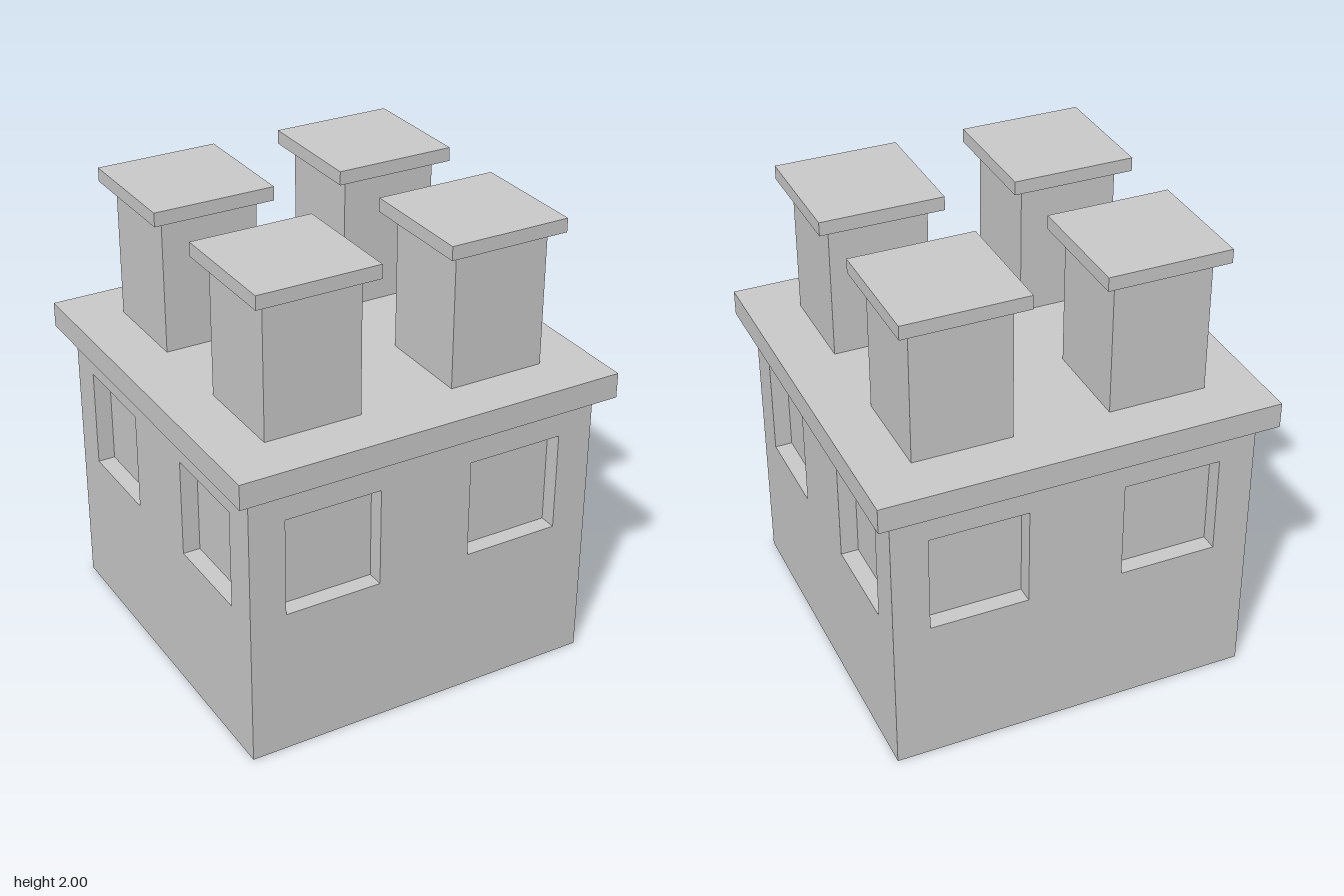
import * as THREE from 'three';

const HALF = 0.79;        // half width of the house
const WALL_TOP = 1.24;
const ROOF_TOP = 1.35;
const OFFSET = 0.42;      // centre of windows and chimneys from the middle
const WIN = { w: 0.425, y0: 0.655, y1: 1.09, depth: 0.075 };

const material = new THREE.MeshStandardMaterial({ color: 0xcccccc, flatShading: true });

function add(parent, name, geometry, x = 0, y = 0, z = 0) {
  const mesh = new THREE.Mesh(geometry, material);
  mesh.name = name;
  mesh.position.set(x, y, z);
  parent.add(mesh);
  return mesh;
}

// Box standing between two heights
function slab(parent, name, width, y0, y1, x = 0, z = 0) {
  return add(parent, name, new THREE.BoxGeometry(width, y1 - y0, width), x, (y0 + y1) / 2, z);
}

function rectangle(Type, x0, y0, x1, y1) {
  const path = new Type();
  path.moveTo(x0, y0);
  path.lineTo(x1, y0);
  path.lineTo(x1, y1);
  path.lineTo(x0, y1);
  path.closePath();
  return path;
}

// Inward-facing box, open at the front
function recessGeometry() {
  const geometry = new THREE.BoxGeometry(WIN.w, WIN.y1 - WIN.y0, WIN.depth);
  const index = Array.from(geometry.index.array);
  index.splice(24, 6);
  geometry.setIndex(index);
  geometry.clearGroups();
  geometry.scale(-1, 1, 1);
  geometry.computeVertexNormals();
  return geometry;
}

// Wall with two window openings and their recesses
function createWall(name) {
  const wall = new THREE.Group();
  wall.name = name;
  const shape = rectangle(THREE.Shape, -HALF, 0, HALF, WALL_TOP);
  for (const side of [-1, 1]) {
    const x = side * OFFSET;
    shape.holes.push(rectangle(THREE.Path, x - WIN.w / 2, WIN.y0, x + WIN.w / 2, WIN.y1));
    add(wall, 'windowRecess', recessGeometry(), x, (WIN.y0 + WIN.y1) / 2, HALF - WIN.depth / 2);
  }
  add(wall, 'wallFace', new THREE.ShapeGeometry(shape), 0, 0, HALF);
  return wall;
}

export function createModel() {
  const model = new THREE.Group();
  model.name = 'house';

  // Four identical walls around the centre
  ['frontWall', 'leftWall', 'backWall', 'rightWall'].forEach((name, i) => {
    const wall = createWall(name);
    wall.rotation.y = i * Math.PI / 2;
    model.add(wall);
  });

  // Underside
  add(model, 'floor', new THREE.PlaneGeometry(2 * HALF, 2 * HALF).rotateX(Math.PI / 2));

  // Overhanging flat roof
  slab(model, 'roof', 1.715, WALL_TOP, ROOF_TOP);

  // Four capped chimneys
  for (const sx of [-1, 1]) {
    for (const sz of [-1, 1]) {
      const chimney = new THREE.Group();
      chimney.name = 'chimney';
      slab(chimney, 'chimneyStack', 0.425, ROOF_TOP, 1.94, sx * OFFSET, sz * OFFSET);
      slab(chimney, 'chimneyCap', 0.532, 1.94, 2, sx * OFFSET, sz * OFFSET);
      model.add(chimney);
    }
  }
  return model;
}
